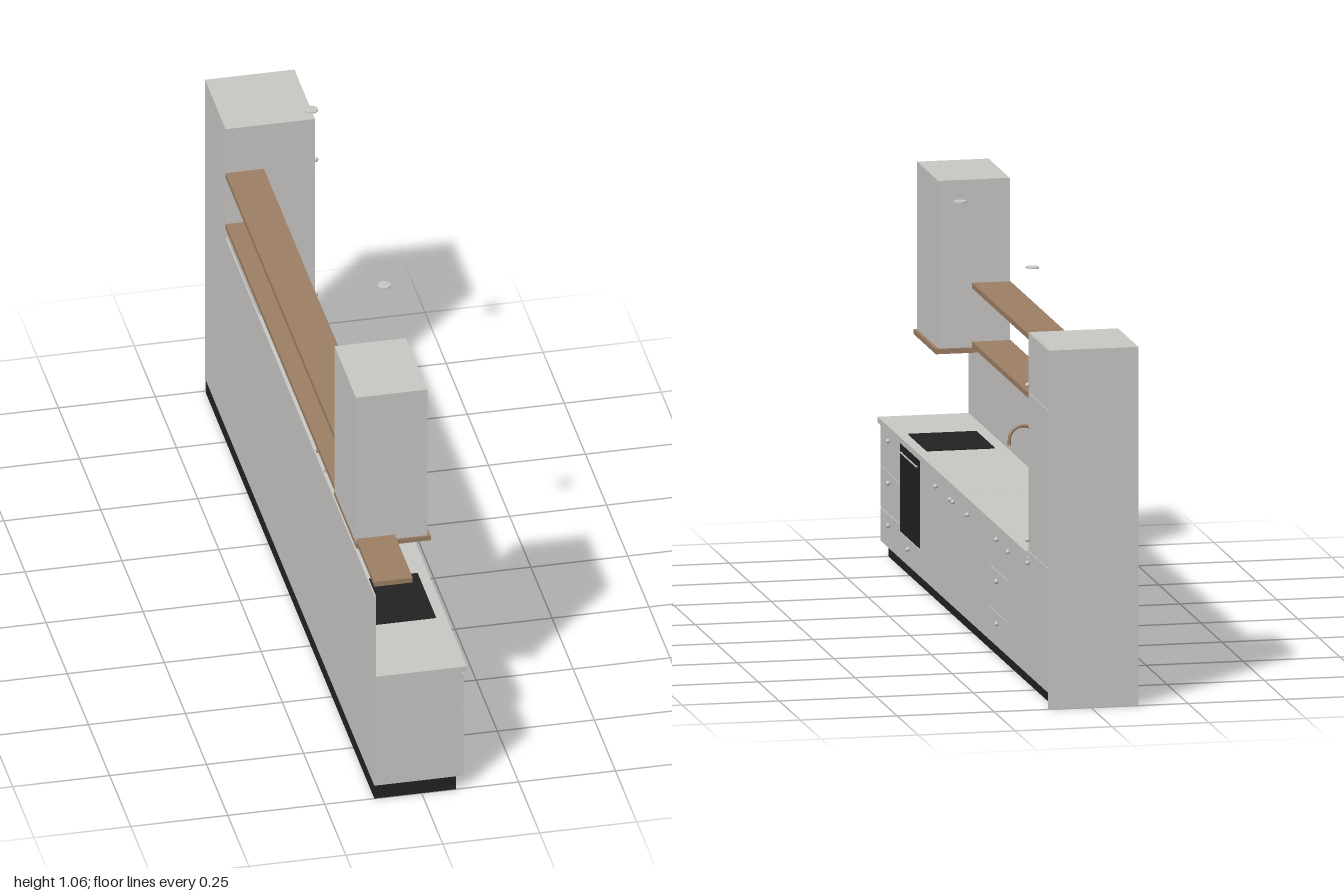
import * as THREE from 'three';

const mat = (name, hex) => {
  const m = new THREE.MeshStandardMaterial({ color: hex });
  m.name = name;
  return m;
};

export function createModel() {
  const grey = mat('light grey', 0xc8c7c4);
  const wood = mat('wood brown', 0x9c7f64);
  const black = mat('black', 0x222222);
  const model = new THREE.Group();
  model.name = 'kitchenUnit';

  const add = (name, geometry, material) => {
    const m = new THREE.Mesh(geometry, material);
    m.name = name;
    model.add(m);
    return m;
  };
  // box given by its limits on each axis
  const box = (name, material, [x0, x1], [y0, y1], [z0, z1]) => {
    const m = add(name, new THREE.BoxGeometry(x1 - x0, y1 - y0, z1 - z0), material);
    m.position.set((x0 + x1) / 2, (y0 + y1) / 2, (z0 + z1) / 2);
    return m;
  };
  // horizontal slab with a rectangular opening
  const rect = (target, [x0, x1], [z0, z1]) => target
    .moveTo(x0, -z0).lineTo(x1, -z0).lineTo(x1, -z1).lineTo(x0, -z1).closePath();
  const slabWithHole = (name, xs, [y0, y1], zs, holeX, holeZ) => {
    const shape = rect(new THREE.Shape(), xs, zs);
    shape.holes.push(rect(new THREE.Path(), holeX, holeZ));
    const g = new THREE.ExtrudeGeometry(shape, { depth: y1 - y0, bevelEnabled: false });
    g.rotateX(-Math.PI / 2).translate(0, y0, 0);
    return add(name, g, grey);
  };

  const BACK = -0.122, BODY = 0.105, FRONT = 0.109, TALL = -0.757;
  const sinkX = [-0.08, 0.062], sinkZ = [0.0, 0.257];

  // plinth and carcasses
  box('plinth', black, [BACK, 0.089], [0, 0.038], [-0.99, 1]);
  box('endPanel', grey, [BACK, FRONT], [0, 0.922], [-1, -0.99]);
  box('tallCabinet', grey, [BACK, BODY], [0.038, 0.922], [-0.99, TALL]);
  box('baseCabinet', grey, [BACK, BODY], [0.038, 0.33], [TALL, 1]);
  slabWithHole('baseCabinetTop', [BACK, BODY], [0.33, 0.345], [TALL, 1], sinkX, sinkZ);

  // worktop in two lengths, the longer one with the sink opening
  box('worktopRight', grey, [BACK, 0.117], [0.345, 0.36], [TALL, -0.007]);
  slabWithHole('worktopLeft', [BACK, 0.117], [0.345, 0.36], [-0.006, 1], sinkX, sinkZ);
  box('backsplash', grey, [BACK, -0.118], [0.36, 0.6], [TALL, 1]);

  // door and drawer fronts: [z0, z1, y0, y1]
  const top = 0.341, g = 0.001;
  const fronts = [
    [0.305, 0.533, 0.04, top, 'door'],
    [0.13, 0.305, 0.04, top, 'door'],
    [-0.035, 0.13, 0.04, top, 'door'],
    [-0.285, -0.035, 0.04, top, 'door'],
    [TALL, -0.522, 0.04, top, 'door'],
    [0.533, 0.767, 0.04, 0.11, 'ovenDrawer'],
    [-0.99, TALL, 0.04, 0.36, 'tallDoor'],
    [-0.99, TALL, 0.36, 0.767, 'tallDoor'],
    [-0.99, TALL, 0.767, 0.922, 'tallDoor'],
  ];
  for (const [z0, z1] of [[0.767, 1], [-0.518, -0.285]]) {
    for (const [y0, y1] of [[0.04, 0.128], [0.128, 0.235], [0.235, top]]) {
      fronts.push([z0, z1, y0, y1, 'drawer']);
    }
  }
  for (const [z0, z1, y0, y1, name] of fronts) {
    box(name, grey, [BODY, FRONT], [y0 + g, y1 - g],
      [z0 === -0.99 ? z0 : z0 + g, z1 === 1 ? z1 : z1 - g]);
  }

  // round knobs: [z, y]
  const knobs = [
    [0.885, 0.32], [0.885, 0.212], [0.885, 0.103], [0.65, 0.088],
    [0.32, 0.315], [0.148, 0.315], [0.115, 0.315], [-0.055, 0.315],
    [-0.403, 0.32], [-0.403, 0.212], [-0.403, 0.103], [-0.54, 0.315],
    [-0.775, 0.333], [-0.775, 0.392], [-0.775, 0.79],
  ];
  for (const [z, y] of knobs) {
    add('knob', new THREE.SphereGeometry(0.006, 16, 12), grey).position.set(0.115, y, z);
  }

  // oven with bar handle, and hob
  box('oven', black, [BODY, 0.11], [0.112, top], [0.535, 0.765]);
  const handle = add('ovenHandle', new THREE.CylinderGeometry(0.002, 0.002, 0.195, 10), grey);
  handle.rotation.x = Math.PI / 2;
  handle.position.set(0.114, 0.319, 0.65);
  for (const z of [0.56, 0.74]) {
    box('ovenHandleBracket', grey, [0.109, 0.114], [0.3175, 0.3205], [z - 0.0015, z + 0.0015]);
  }
  box('hob', black, [-0.085, 0.09], [0.36, 0.363], [0.54, 0.757]);

  // tap with a swan neck
  const neck = new THREE.CurvePath();
  const tz = 0.13, r = 0.035, cx = -0.069, cy = 0.465;
  const arc = [];
  for (let i = 0; i <= 12; i++) {
    const a = Math.PI * (1 - i / 12);
    arc.push(new THREE.Vector3(cx + r * Math.cos(a), cy + r * Math.sin(a), tz));
  }
  neck.add(new THREE.LineCurve3(new THREE.Vector3(cx - r, 0.36, tz), arc[0]));
  neck.add(new THREE.CatmullRomCurve3(arc));
  neck.add(new THREE.LineCurve3(arc[12], new THREE.Vector3(cx + r, 0.452, tz)));
  add('tapNeck', new THREE.TubeGeometry(neck, 60, 0.0042, 12), wood);
  add('tapBase', new THREE.CylinderGeometry(0.009, 0.009, 0.015, 20), wood)
    .position.set(cx - r, 0.3675, tz);
  add('tapOutlet', new THREE.CylinderGeometry(0.0042, 0.0042, 0.002, 12), wood)
    .position.set(cx + r, 0.452, tz);

  // extractor hood with wooden base
  box('hood', grey, [BACK, 0.062], [0.625, 1.056], [0.53, 0.783]);
  box('hoodBase', wood, [BACK, 0.07], [0.612, 0.625], [0.523, 0.788]);

  // wall shelves
  const shelfX = [BACK, -0.023];
  box('upperShelf', wood, shelfX, [0.778, 0.792], [TALL, 0.522]);
  box('lowerShelf', wood, shelfX, [0.627, 0.641], [TALL, 0.522]);
  box('endShelf', wood, shelfX, [0.627, 0.641], [0.788, 1]);

  // ceiling spotlights
  for (const z of [0.268, -0.593]) {
    add('spotlight', new THREE.CylinderGeometry(0.017, 0.017, 0.003, 24), grey)
      .position.set(0.063, 1.0545, z);
  }
  return model;
}
